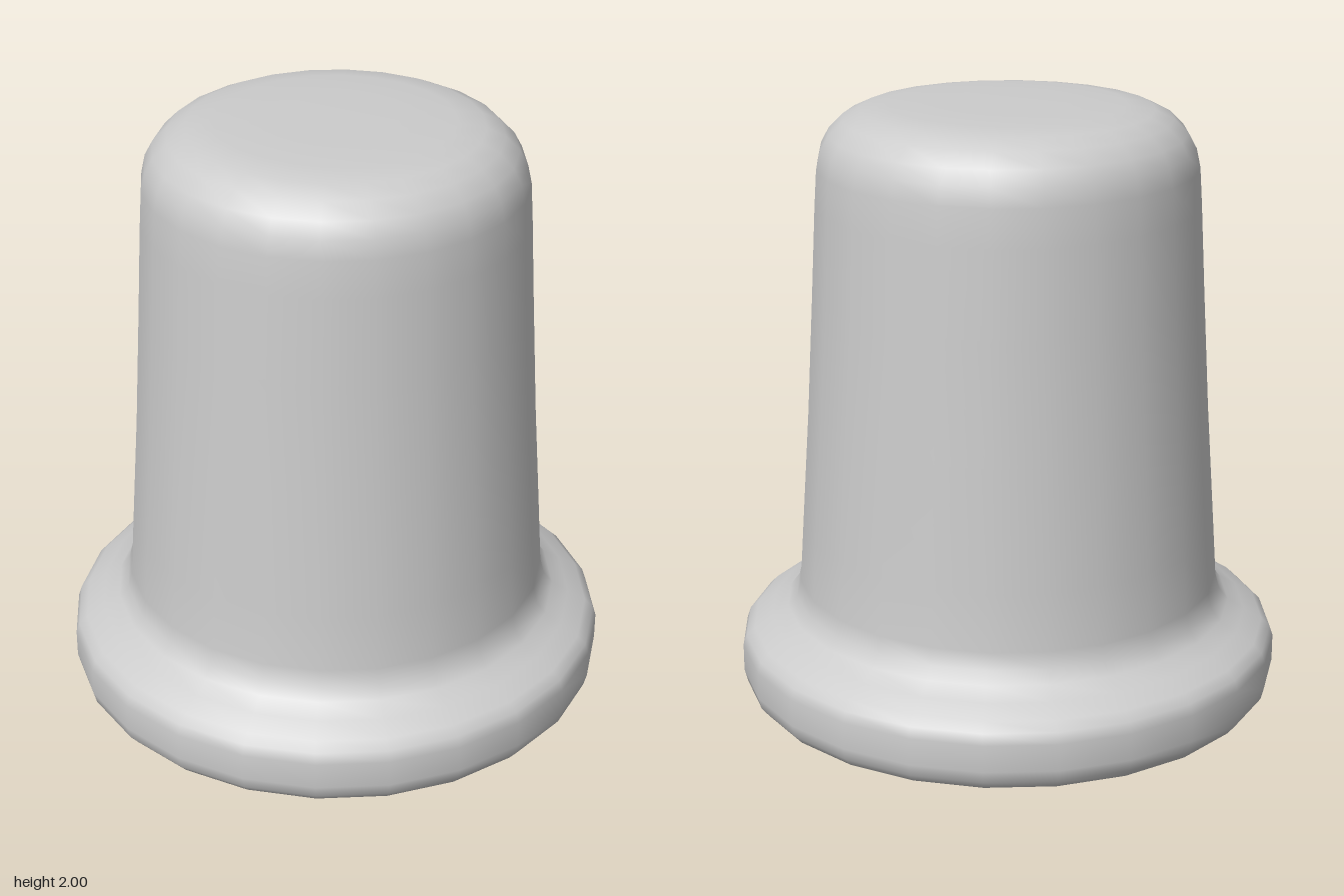
import * as THREE from 'three';

export function createModel() {
  const group = new THREE.Group();
  const material = new THREE.MeshStandardMaterial({ color: 0xcccccc });

  // Profile from the centre of the underside to the centre of the top: radius, height
  const profile = [
    // slightly domed underside
    [0, 0], [0.4, 0.003], [0.7, 0.01], [0.8, 0.017], [0.865, 0.03],
    // rounded flange
    [0.89, 0.06], [0.9, 0.1], [0.9, 0.19], [0.888, 0.225], [0.86, 0.252],
    // fillet into the body
    [0.8, 0.285], [0.745, 0.318], [0.715, 0.355], [0.701, 0.41],
    // tapered body
    [0.688, 0.6], [0.66, 1.0], [0.637, 1.4], [0.622, 1.68], [0.614, 1.8],
    // rounded top edge and flat top
    [0.601, 1.86], [0.575, 1.908], [0.53, 1.953], [0.47, 1.981], [0.38, 1.996], [0.2, 2], [0, 2],
  ].map(([r, y]) => new THREE.Vector2(r, y));

  const plug = new THREE.Mesh(new THREE.LatheGeometry(profile, 24), material);
  plug.name = 'flangedPlug';
  group.add(plug);
  return group;
}
